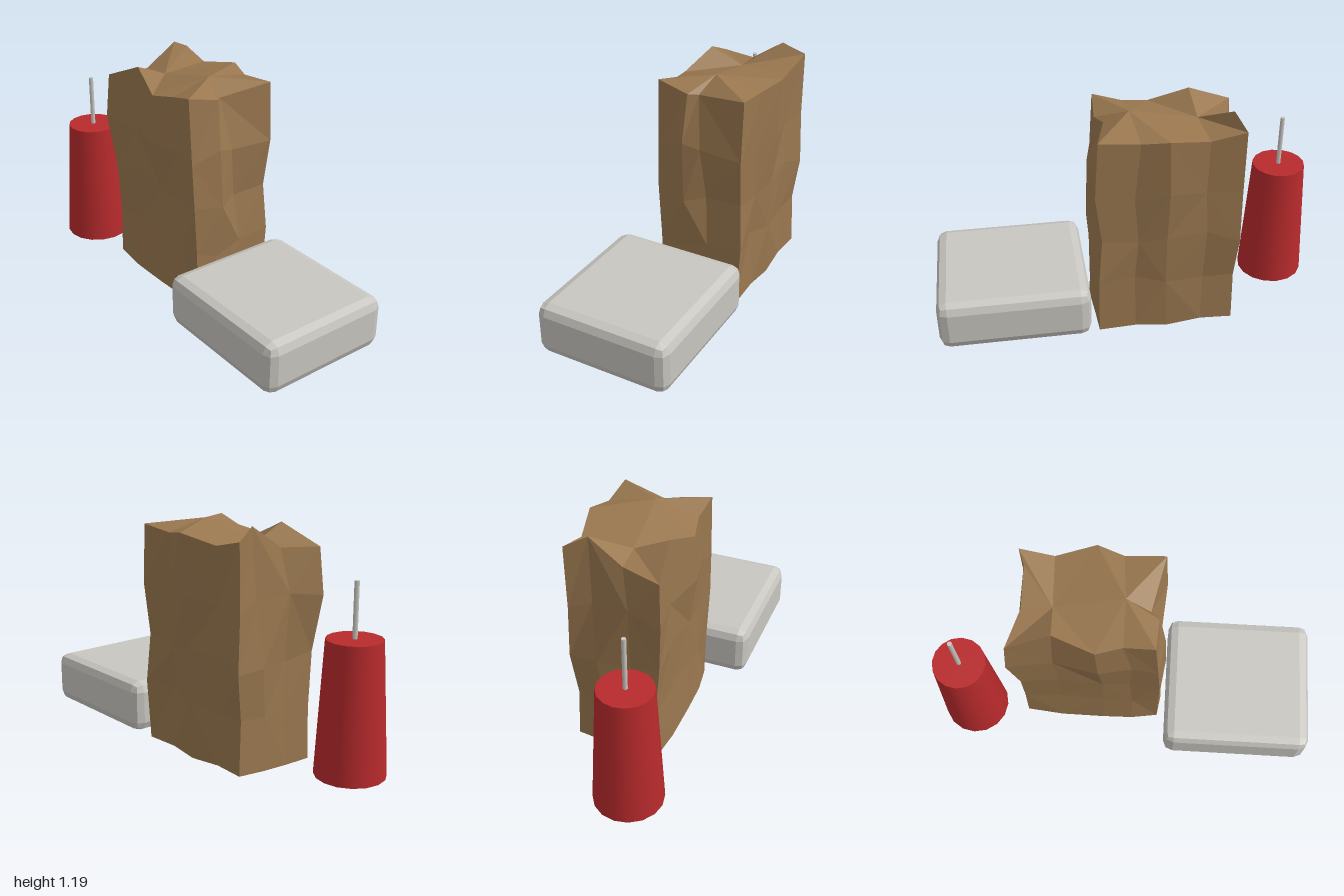
import * as THREE from 'three';
import { RoundedBoxGeometry } from 'three/addons/geometries/RoundedBoxGeometry.js';

const paper = new THREE.MeshStandardMaterial({ color: 0x99774f });
paper.name = 'brown paper';
const red = new THREE.MeshStandardMaterial({ color: 0xb82a2c });
red.name = 'red wax';
const pale = new THREE.MeshStandardMaterial({ color: 0xc8c6c0 });
pale.name = 'pale grey';

function seeded(seed) {
  return () => {
    seed = (seed * 16807) % 2147483647;
    return (seed / 2147483647) * 2 - 1;
  };
}

// Crumpled bag: rings blend from a plain base to an uneven rim, then are capped
function bagGeometry() {
  const base = [ // x, z
    [-0.53, 0.14], [-0.34, 0.15], [-0.12, 0.16], [0.04, 0.15], [0.18, 0.14],
    [0.2, 0.02], [0.19, -0.14], [0.18, -0.29], [0.0, -0.28], [-0.16, -0.3],
    [-0.34, -0.28], [-0.51, -0.29], [-0.52, -0.14], [-0.52, 0.0],
  ];
  const rim = [ // x, y, z
    [-0.55, 1.07, 0.17], [-0.33, 1.165, 0.13], [-0.13, 1.085, 0.18], [0.0, 1.11, 0.15],
    [0.15, 1.15, 0.165], [0.16, 1.11, 0.0], [0.12, 1.1, -0.04], [0.18, 1.14, -0.31],
    [-0.02, 1.12, -0.31], [-0.15, 1.14, -0.35], [-0.35, 1.1, -0.3], [-0.52, 1.14, -0.31],
    [-0.48, 1.195, -0.2], [-0.49, 1.08, -0.03],
  ];
  const levels = [ // height, blend to rim, swell, crumple
    [0.02, 0, 1, 0.006], [0.3, 0.1, 1.01, 0.016], [0.56, 0.25, 1.01, 0.018], [0.84, 0.5, 1.05, 0.018],
  ];
  const n = base.length, cx = -0.165, cz = -0.075, noise = seeded(77);
  const rings = levels.map(([y, blend, swell, crumple]) => base.map(([bx, bz], i) => {
    const x = THREE.MathUtils.lerp(bx, rim[i][0], blend);
    const z = THREE.MathUtils.lerp(bz, rim[i][2], blend);
    return [
      cx + (x - cx) * swell + noise() * crumple,
      y + noise() * crumple * 2,
      cz + (z - cz) * swell + noise() * crumple,
    ];
  }));
  rings.push(rim);

  const pos = [];
  const tri = (a, b, c) => pos.push(...a, ...b, ...c);
  for (let r = 0; r < rings.length - 1; r++) {
    for (let i = 0; i < n; i++) {
      const j = (i + 1) % n;
      const a = rings[r][i], b = rings[r][j], c = rings[r + 1][j], d = rings[r + 1][i];
      if ((i + r) % 3) { tri(a, b, c); tri(a, c, d); } else { tri(a, b, d); tri(b, c, d); }
    }
  }
  // Folded top: a sunken point on one side and a raised ridge on the other
  const dip = [-0.34, 1.09, -0.04], peak = [0.0, 1.168, -0.07];
  for (let i = 0; i < n; i++) {
    tri(i >= 2 && i < 9 ? peak : dip, rim[i], rim[(i + 1) % n]);
    tri([cx, 0.03, cz], rings[0][(i + 1) % n], rings[0][i]);
  }
  tri(dip, rim[2], peak);
  tri(peak, rim[9], dip);

  const g = new THREE.BufferGeometry();
  g.setAttribute('position', new THREE.Float32BufferAttribute(pos, 3));
  g.computeVertexNormals();
  return g;
}

export function createModel() {
  const model = new THREE.Group();
  const add = (name, geometry, material, x, y, z) => {
    const mesh = new THREE.Mesh(geometry, material);
    mesh.name = name;
    mesh.position.set(x, y, z);
    model.add(mesh);
  };

  add('paperBag', bagGeometry(), paper, 0, 0, 0);

  // Tapered candle with its wick
  add('candle', new THREE.CylinderGeometry(0.135, 0.173, 0.66, 16), red, -0.827, 0.36, 0.12);
  add('wick', new THREE.CylinderGeometry(0.012, 0.012, 0.27, 8), pale, -0.827, 0.825, 0.12);

  // Bar with faceted bevels
  const bar = new RoundedBoxGeometry(0.77, 0.27, 0.7, 1, 0.052);
  bar.computeVertexNormals();
  add('bar', bar, pale, 0.612, 0.165, 0);

  return model;
}
